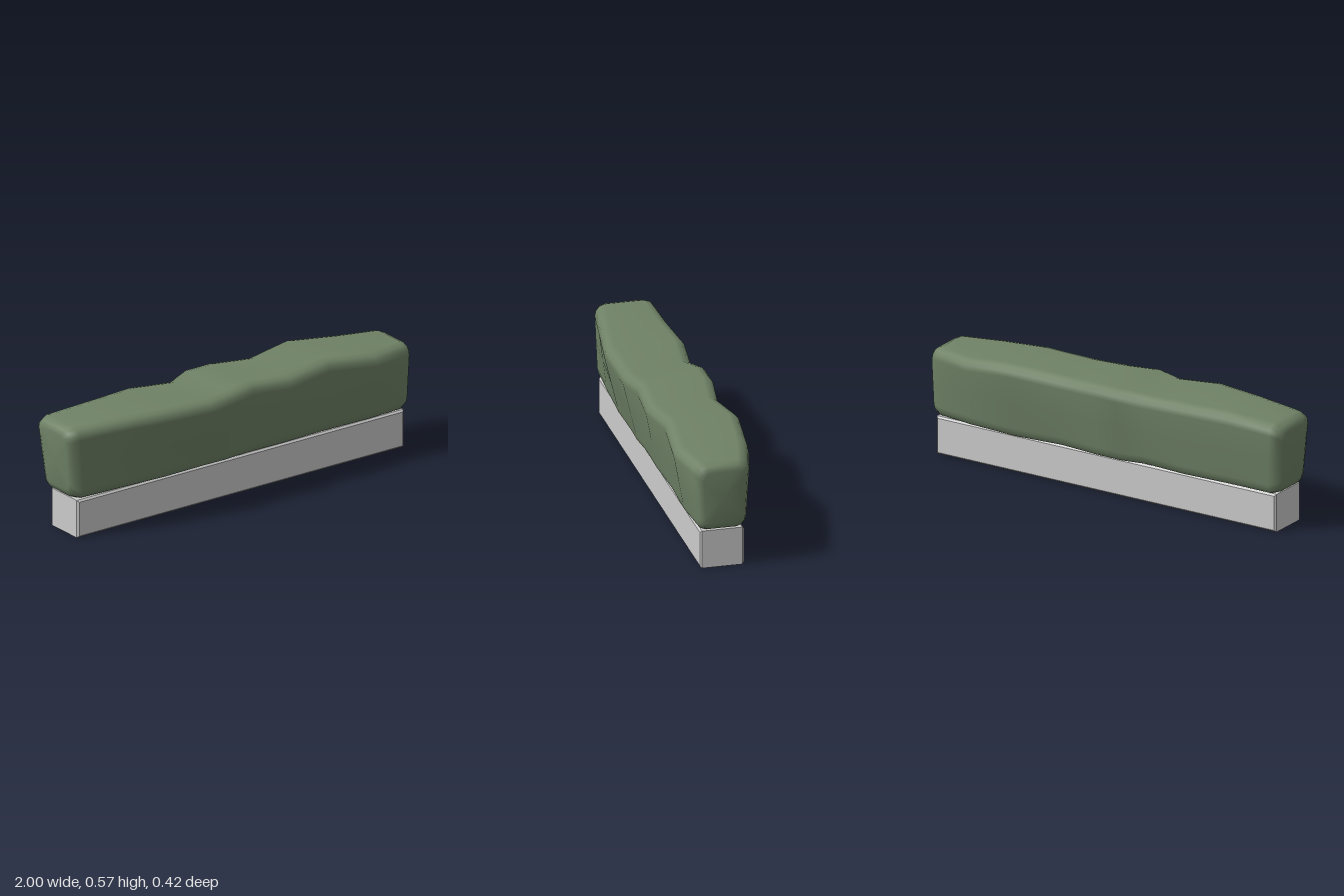
import * as THREE from 'three';

// Stations along the hedge: x, back z, front z, top y, end inset
const STATIONS = [
  [-1.0, -0.165, 0.122, 0.558, 0.045],
  [-0.987, -0.168, 0.122, 0.558, 0.015],
  [-0.945, -0.17, 0.122, 0.558, 0],
  [-0.7, -0.172, 0.163, 0.565, 0],
  [-0.44, -0.19, 0.206, 0.565, 0],
  [-0.22, -0.166, 0.192, 0.548, 0],
  [-0.1, -0.206, 0.202, 0.566, 0],
  [0.04, -0.205, 0.168, 0.567, 0],
  [0.25, -0.175, 0.18, 0.553, 0],
  [0.5, -0.212, 0.152, 0.57, 0],
  [0.76, -0.187, 0.176, 0.541, 0],
  [0.955, -0.14, 0.137, 0.536, 0],
  [0.988, -0.135, 0.132, 0.534, 0.013],
  [1.0, -0.135, 0.132, 0.534, 0.04],
];
const BOTTOM = 0.19;

// Rounded, upward flaring cross-section, listed as [z, y]
function section([, back, front, top, inset]) {
  const lowFront = 0.115 + 0.3 * (front - 0.12);
  const lowBack = 0.12 + 0.6 * (-back - 0.13);
  const half = (low, high) => [
    [low - 0.045, BOTTOM],
    [low - 0.02, BOTTOM + 0.01],
    [low - 0.005, BOTTOM + 0.03],
    [low, BOTTOM + 0.055],
    [low + (high - low) * 0.5, (BOTTOM + top) / 2],
    [high, top - 0.055],
    [high - 0.006, top - 0.03],
    [high - 0.022, top - 0.01],
    [high - 0.055, top],
  ];
  const points = [
    ...half(lowFront, front),
    ...half(lowBack, -back).reverse().map(([z, y]) => [-z, y]),
  ];
  // Shrink the end rings evenly towards the middle
  const midZ = (front + back) / 2, midY = (top + BOTTOM) / 2;
  const sz = 1 - inset / ((front - back) / 2), sy = 1 - inset / ((top - BOTTOM) / 2);
  return points.map(([z, y]) => [midZ + (z - midZ) * sz, midY + (y - midY) * sy]);
}

function hedgeGeometry() {
  const positions = [], index = [];
  let n = 0;
  for (const station of STATIONS) {
    const ring = section(station);
    n = ring.length;
    for (const [z, y] of ring) {
      // The ends lean slightly outwards towards the top
      const low = Math.max(0, (0.52 - y) / 0.33);
      const lean = station[0] < -0.9 ? 0.028 * low : station[0] > 0.9 ? -0.006 * low : 0;
      positions.push(station[0] + lean, y, z);
    }
  }
  const last = STATIONS.length - 1;
  for (let i = 0; i < last; i++) {
    for (let j = 0; j < n; j++) {
      const k = (j + 1) % n;
      const a = i * n + j, b = i * n + k, c = a + n, d = b + n;
      index.push(a, c, b, b, c, d);
    }
  }
  // End caps
  for (const [i, x] of [[0, -0.988], [last, 0.998]]) {
    const [, back, front, top] = STATIONS[i];
    const centre = positions.length / 3;
    positions.push(x, (top + BOTTOM) / 2, (back + front) / 2);
    for (let j = 0; j < n; j++) {
      const a = i * n + j, b = i * n + (j + 1) % n;
      if (i === 0) index.push(centre, a, b);
      else index.push(centre, b, a);
    }
  }
  const geometry = new THREE.BufferGeometry();
  geometry.setAttribute('position', new THREE.Float32BufferAttribute(positions, 3));
  geometry.setIndex(index);
  geometry.computeVertexNormals();
  return geometry;
}

// Box with a small chamfer on every edge
function chamferedBox(width, height, depth, bevel) {
  const w = width / 2 - bevel, h = height / 2 - bevel;
  const shape = new THREE.Shape([
    new THREE.Vector2(-w, -h), new THREE.Vector2(w, -h),
    new THREE.Vector2(w, h), new THREE.Vector2(-w, h),
  ]);
  const geometry = new THREE.ExtrudeGeometry(shape, {
    depth: depth - 2 * bevel, bevelEnabled: true,
    bevelThickness: bevel, bevelSize: bevel, bevelSegments: 1,
  });
  return geometry.center();
}

export function createModel() {
  const model = new THREE.Group();
  model.name = 'hedge';

  const planter = new THREE.Mesh(
    chamferedBox(1.915, 0.19, 0.214, 0.009),
    new THREE.MeshStandardMaterial({ color: 0xcccccc }),
  );
  planter.name = 'base';
  planter.position.set(0.013, 0.095, -0.004);
  model.add(planter);

  const foliage = new THREE.Mesh(
    hedgeGeometry(),
    new THREE.MeshStandardMaterial({ color: 0x6f8266 }),
  );
  foliage.name = 'foliage';
  model.add(foliage);

  return model;
}
